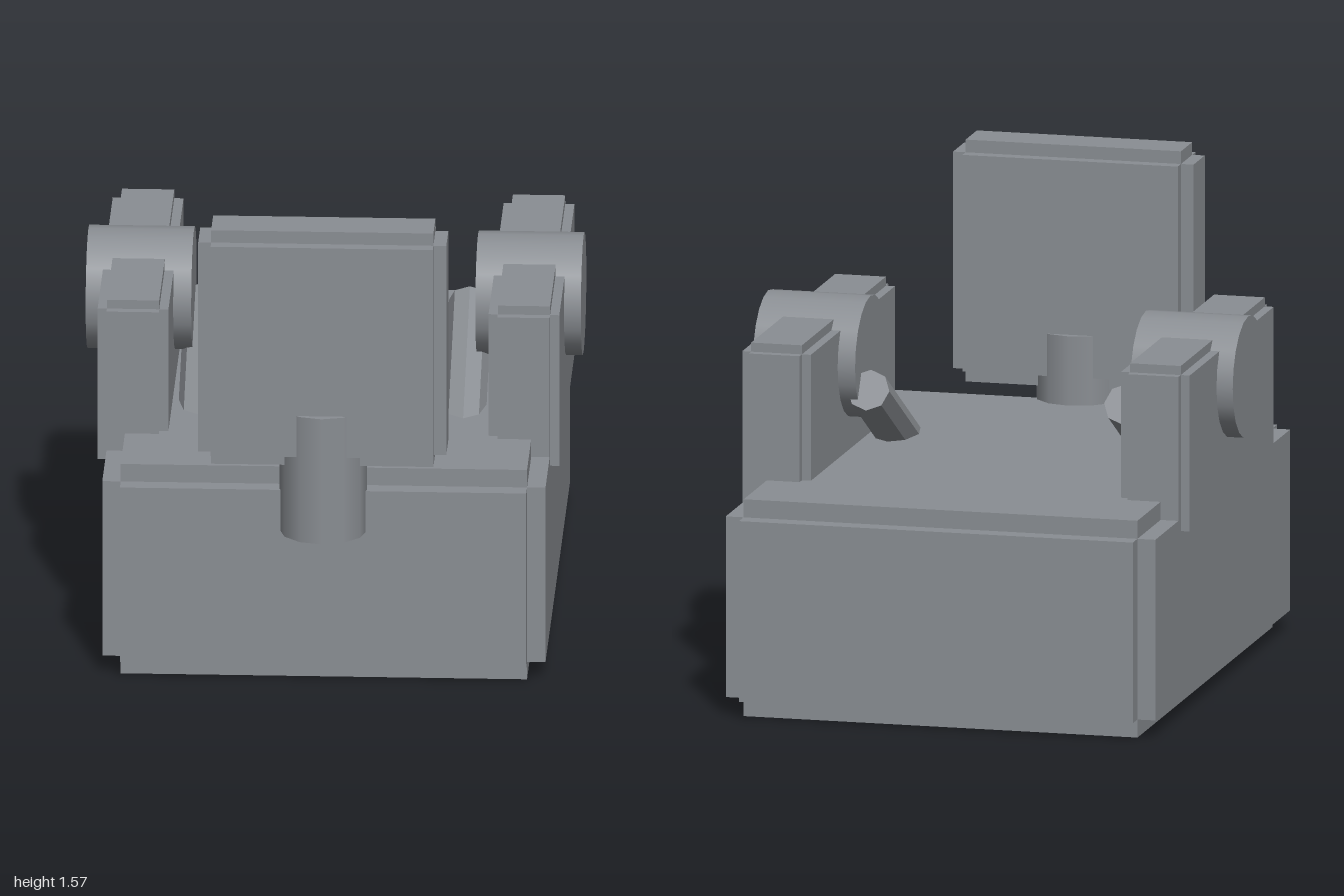
import * as THREE from 'three';
import { mergeGeometries } from 'three/addons/utils/BufferGeometryUtils.js';

const slate = new THREE.MeshStandardMaterial({ color: 0x8a8e93 });
const slateFlat = new THREE.MeshStandardMaterial({ color: 0x8a8e93, flatShading: true });

function addMesh(parent, name, geometry, material = slate) {
  const mesh = new THREE.Mesh(geometry, material);
  mesh.name = name;
  parent.add(mesh);
  return mesh;
}

// Block with a square step cut into every edge: three crossed boxes,
// each reaching the full size along one axis only
function steppedBlock([x0, x1], [y0, y1], [z0, z1], step) {
  const size = [x1 - x0, y1 - y0, z1 - z0];
  const boxes = [0, 1, 2].map((axis) =>
    new THREE.BoxGeometry(...size.map((s, i) => (i === axis ? s : s - 2 * step))));
  return mergeGeometries(boxes).translate((x0 + x1) / 2, (y0 + y1) / 2, (z0 + z1) / 2);
}

export function createModel() {
  const model = new THREE.Group();
  model.name = 'steppedBlockModel';

  // Main body
  addMesh(model, 'base', steppedBlock([-0.72, 0.72], [0, 0.72], [-1, 0.87], 0.06));

  // Upright panel and its post at the front
  addMesh(model, 'frontPanel', steppedBlock([-0.403, 0.403], [0.767, 1.57], [0.74, 0.97], 0.042));
  addMesh(model, 'frontPost', new THREE.CylinderGeometry(0.142, 0.142, 0.43, 12))
    .position.set(0, 0.735, 0.857);

  // Side walls, hubs and sloping levers, mirrored left and right
  for (const [side, s] of [['left', 1], ['right', -1]]) {
    const group = new THREE.Group();
    group.name = `${side}Side`;
    model.add(group);

    const wallX = s > 0 ? [0.52, 0.75] : [-0.75, -0.52];
    addMesh(group, `${side}Wall`, steppedBlock(wallX, [0.59, 1.168], [-0.64, 0.51], 0.03));

    const hub = addMesh(group, `${side}Hub`, new THREE.CylinderGeometry(0.2, 0.2, 0.343, 20));
    hub.rotation.z = Math.PI / 2;
    hub.position.set(s * 0.633, 1.023, -0.063);

    // Lever rises backwards at 30 degrees out of the base
    const lever = addMesh(group, `${side}Lever`,
      new THREE.CylinderGeometry(0.07, 0.07, 0.8, 8).translate(0, -0.4, 0), slateFlat);
    lever.rotation.x = -Math.PI / 3;
    lever.position.set(s * 0.43, 0.942, -0.211);
  }
  return model;
}
